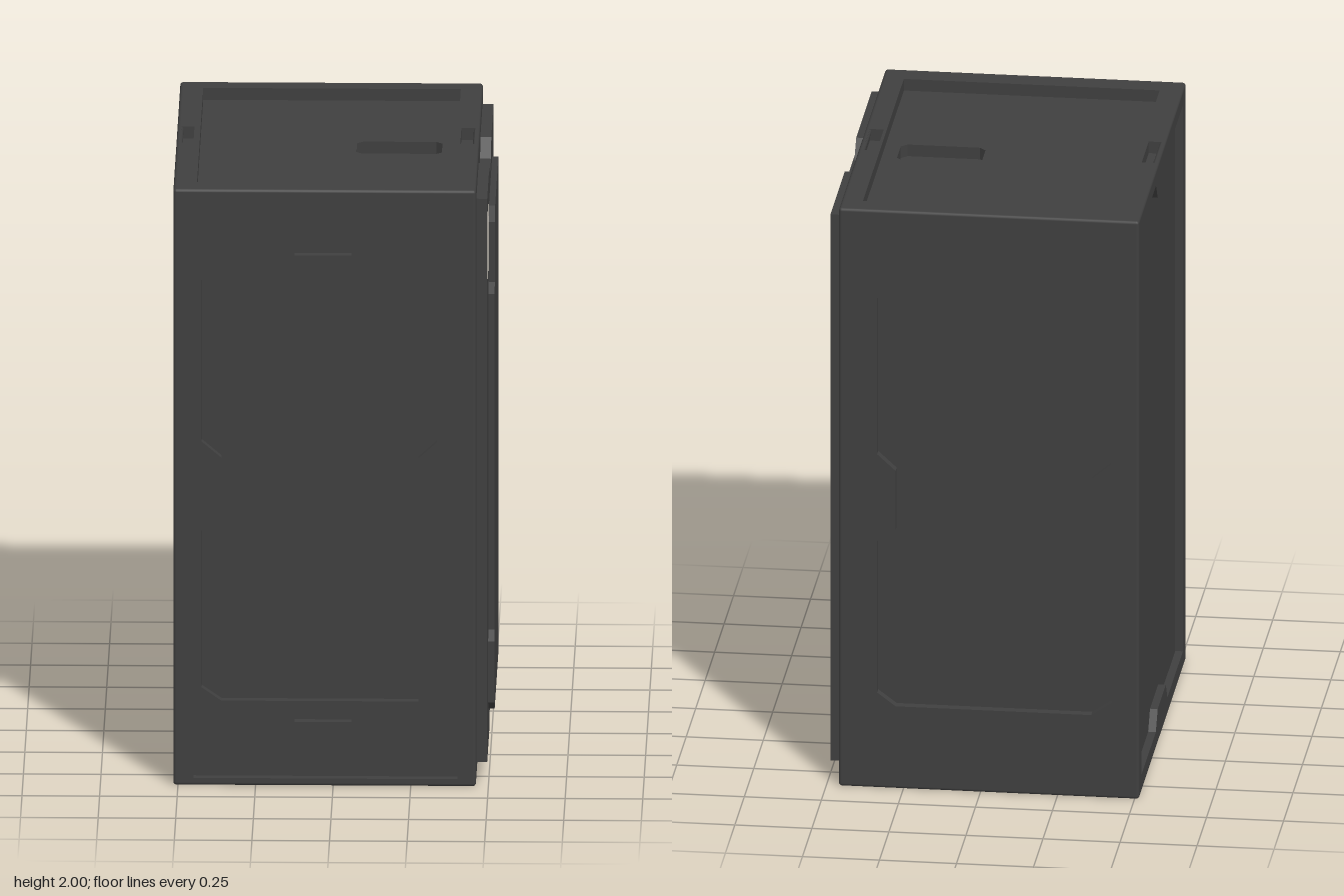
import * as THREE from 'three';

const X0 = -0.515, X1 = 0.46, H = 2, Z = 0.62, R = 0.01;

const shell = new THREE.MeshStandardMaterial({ color: 0x3f3f3f });
shell.name = 'charcoal shell';

const rect = (x0, y0, x1, y1) => [[x0, y0], [x1, y0], [x1, y1], [x0, y1]];
const chamfered = (x0, y0, x1, y1, c) => [
  [x0 + c, y0], [x1 - c, y0], [x1, y0 + c], [x1, y1 - c],
  [x1 - c, y1], [x0 + c, y1], [x0, y1 - c], [x0, y0 + c],
];
const flipX = (pts) => pts.map(([x, y]) => [-x, y]);
const toVectors = (pts) => pts.map(([x, y]) => new THREE.Vector2(x, y));

export function createModel() {
  const model = new THREE.Group();
  model.name = 'computerCase';

  const add = (name, geometry, x = 0, y = 0, z = 0) => {
    const mesh = new THREE.Mesh(geometry, shell);
    mesh.name = name;
    mesh.position.set(x, y, z);
    model.add(mesh);
    return mesh;
  };
  const box = (name, x0, x1, y0, y1, z0, z1) =>
    add(name, new THREE.BoxGeometry(x1 - x0, y1 - y0, z1 - z0),
      (x0 + x1) / 2, (y0 + y1) / 2, (z0 + z1) / 2);

  // A plate with holes, extruded outwards
  const plateGeometry = (outline, holes, depth) => {
    const shape = new THREE.Shape(toVectors(outline));
    holes.forEach((h) => shape.holes.push(new THREE.Path(toVectors(h))));
    return new THREE.ExtrudeGeometry(shape, { depth, bevelEnabled: false });
  };

  // Inner core, which forms the floors of the recesses
  box('core', X0 + 0.025, X1 - 0.005, 0.005, 1.92, -Z + 0.03, Z - 0.03);

  // Front and back: stepped window recess and slots
  const windowRecess = [
    [-0.36, 1.735], [0.275, 1.735], [0.335, 1.695], [0.335, 1.155],
    [0.275, 1.10], [0.275, 0.895], [0.335, 0.855], [0.335, 0.33],
    [0.275, 0.285], [-0.36, 0.285], [-0.425, 0.33], [-0.425, 0.855],
    [-0.36, 0.895], [-0.36, 1.10], [-0.425, 1.155], [-0.425, 1.695],
  ];
  const slots = [rect(-0.125, 1.78, 0.06, 1.82), rect(-0.125, 0.215, 0.06, 0.255)];
  const ventStrip = rect(-0.45, 0.025, 0.40, 0.095);
  const face = rect(X0 + R, R, X1 - R, H - R);
  add('frontFrame', plateGeometry(face, [windowRecess, ...slots, ventStrip], 0.03), 0, 0, Z - 0.03);
  const back = plateGeometry(flipX(face), [windowRecess, ...slots].map(flipX), 0.03);
  add('backFrame', back.rotateY(Math.PI), 0, 0, -Z + 0.03);

  // Side door outline with tabs cut in at top and bottom (z, y)
  const door = [
    [0.54, 0.06], [0.54, 1.95], [0.13, 1.95], [0.08, 1.89], [-0.125, 1.89], [-0.17, 1.95],
    [-0.55, 1.95], [-0.55, 0.06], [-0.175, 0.06], [-0.125, 0.12], [0.09, 0.12], [0.13, 0.06],
  ];

  // Left-hand frame at -x, with the door opening and a finger notch
  const sideFrame = [
    [-Z + R, R], [Z - R, R], [Z - R, H - R], [0.085, H - R],
    [0.085, 1.96], [-0.1, 1.96], [-0.1, H - R], [-Z + R, H - R],
  ];
  add('openSideFrame', plateGeometry(sideFrame, [door], 0.025).rotateY(-Math.PI / 2), X0 + 0.025);
  box('notchLip', X0, X0 + R, 1.95, H - R, -0.1, 0.085);

  // Door side at +x: plain wall, door with a small recess, raised panel
  box('doorWall', X1 - 0.012, X1, R, H - R, -Z + R, Z - R);
  box('doorBacking', X1 - 0.005, X1 + 0.012, 1.6, 1.885, 0.3, 0.53);
  const badge = rect(0.36, 1.655, 0.515, 1.88);
  add('sideDoor', plateGeometry(flipX(door), [flipX(badge)], 0.035).rotateY(Math.PI / 2), X1);
  const raised = [
    [0.24, 1.84], [-0.32, 1.84], [-0.375, 1.80], [-0.375, 1.60], [-0.345, 1.57],
    [-0.345, 0.435], [-0.375, 0.405], [-0.375, 0.205], [-0.335, 0.175], [0.32, 0.175],
    [0.37, 0.21], [0.37, 0.415], [0.335, 0.445], [0.335, 1.57], [0.295, 1.60], [0.295, 1.80],
  ];
  add('raisedDoorPanel', plateGeometry(flipX(raised), [], 0.02).rotateY(Math.PI / 2), X1 + 0.035);

  // Top rim with tray and notches; tray floor with a handle slot (x, -z)
  const rimHoles = [
    rect(-0.44, -0.535, 0.39, 0.545),
    rect(X0 + R + 0.003, -0.085, -0.46, 0.1),
    rect(0.40, -0.085, 0.445, 0.1),
  ];
  const rim = plateGeometry(rect(X0 + R, -Z + R, X1 - R, Z - R), rimHoles, 0.04);
  add('topRim', rim.rotateX(-Math.PI / 2), 0, H - 0.04);
  const floor = plateGeometry(rect(X0 + 0.025, -Z + 0.03, X1 - 0.005, Z - 0.03),
    [chamfered(0.065, -0.065, 0.34, 0.075, 0.02)], 0.04);
  add('topTray', floor.rotateX(-Math.PI / 2), 0, H - 0.08);

  // Base
  box('base', X0 + R, X1 - R, 0, 0.015, -Z + R, Z - R);

  // Rounded edges and corners
  const xs = [X0 + R, X1 - R], ys = [R, H - R], zs = [-Z + R, Z - R];
  const rod = (length) => new THREE.CylinderGeometry(R, R, length, 16, 1, true);
  const rodX = rod(xs[1] - xs[0]).rotateZ(Math.PI / 2);
  const rodY = rod(ys[1] - ys[0]);
  const rodZ = rod(zs[1] - zs[0]).rotateX(Math.PI / 2);
  const ball = new THREE.SphereGeometry(R, 16, 8);
  const midX = (X0 + X1) / 2;
  for (const y of ys) for (const z of zs) add('roundedEdge', rodX, midX, y, z);
  for (const x of xs) for (const z of zs) add('roundedEdge', rodY, x, H / 2, z);
  for (const x of xs) for (const y of ys) add('roundedEdge', rodZ, x, y, 0);
  for (const x of xs) for (const y of ys) for (const z of zs) add('roundedCorner', ball, x, y, z);

  return model;
}
